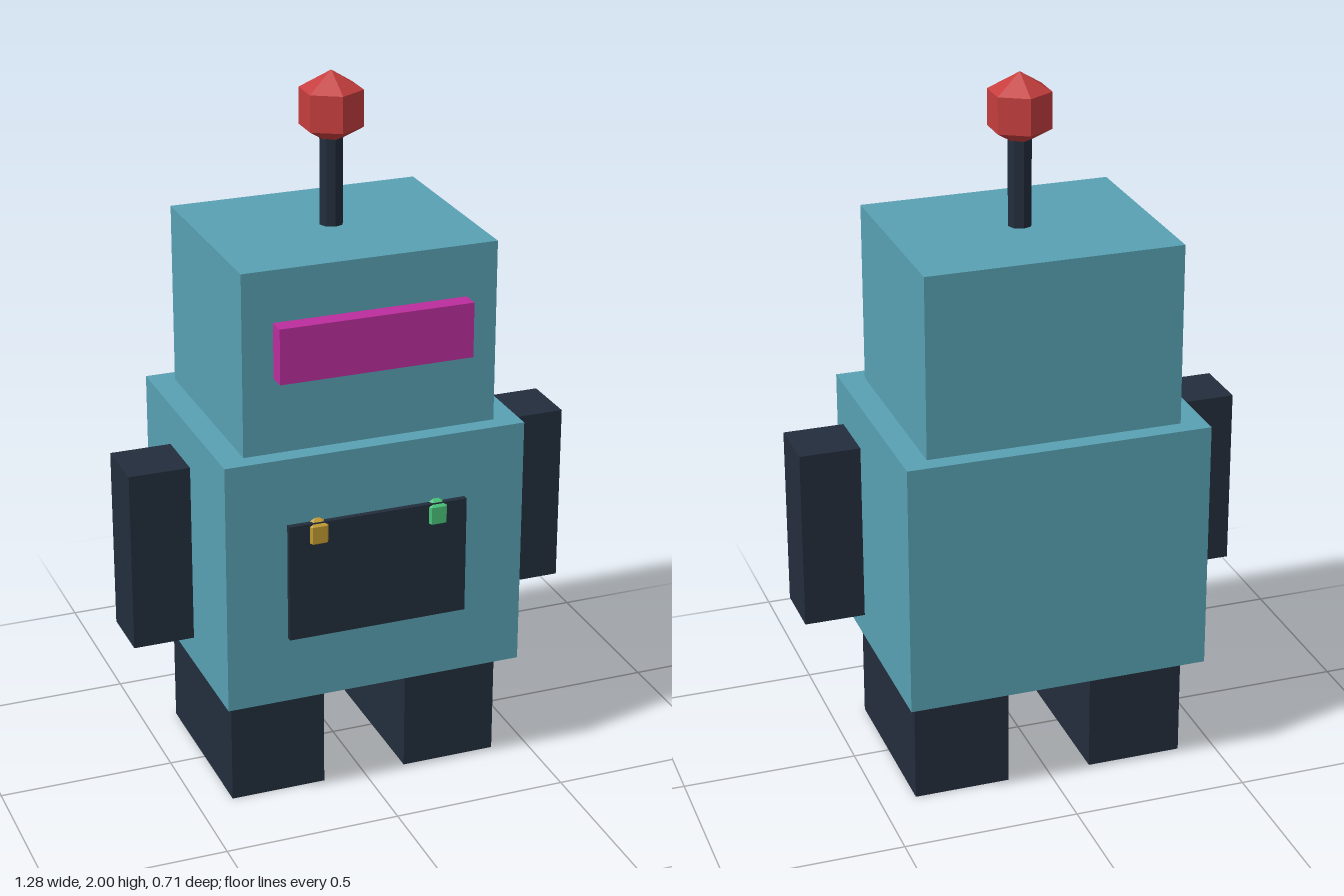
import * as THREE from 'three';

const mat = (name, color) => {
  const m = new THREE.MeshStandardMaterial({ color, flatShading: true });
  m.name = name;
  return m;
};

export function createModel() {
  const robot = new THREE.Group();
  robot.name = 'robot';

  const teal = mat('teal', 0x58a1b3);
  const navy = mat('dark navy', 0x222d3c);
  const magenta = mat('magenta', 0xbb2d9c);
  const red = mat('red', 0xc63e3e);
  const gold = mat('gold', 0xc09a30);
  const green = mat('green', 0x48c078);

  const add = (name, geometry, material, x, y, z) => {
    const mesh = new THREE.Mesh(geometry, material);
    mesh.name = name;
    mesh.position.set(x, y, z);
    robot.add(mesh);
    return mesh;
  };

  // Box given by its lower and upper limits on each axis
  const box = (name, material, [x0, x1], [y0, y1], [z0, z1]) =>
    add(name, new THREE.BoxGeometry(x1 - x0, y1 - y0, z1 - z0), material,
      (x0 + x1) / 2, (y0 + y1) / 2, (z0 + z1) / 2);

  // Torso and head
  box('torso', teal, [-0.432, 0.432], [0.33, 1.055], [-0.358, 0.33]);
  box('head', teal, [-0.362, 0.362], [1.055, 1.572], [-0.307, 0.28]);
  box('visor', magenta, [-0.275, 0.275], [1.27, 1.426], [0.27, 0.331]);

  // Chest panel with two faceted lamps sunk into it
  box('chestPanel', navy, [-0.258, 0.258], [0.523, 0.863], [0.32, 0.346]);
  for (const [name, material, x] of [['goldLamp', gold, -0.173], ['greenLamp', green, 0.173]]) {
    add(name, new THREE.SphereGeometry(0.049, 6, 3), material, x, 0.83, 0.318);
  }

  // Arms and feet, mirrored left and right
  for (const [side, s] of [['left', 1], ['right', -1]]) {
    const span = (a, b) => (s > 0 ? [a, b] : [-b, -a]);
    box(side + 'Arm', navy, span(0.466, 0.638), [0.47, 0.985], [-0.03, 0.141]);
    box(side + 'Foot', navy, span(0.122, 0.397), [0, 0.311], [-0.268, 0.248]);
  }

  // Antenna
  add('antennaStem', new THREE.CylinderGeometry(0.034, 0.034, 0.27, 8), navy, 0, 1.695, -0.014);
  const ball = add('antennaBall', new THREE.SphereGeometry(0.102, 6, 3), red, 0, 1.898, -0.014);
  ball.rotation.y = Math.PI / 6;

  return robot;
}
